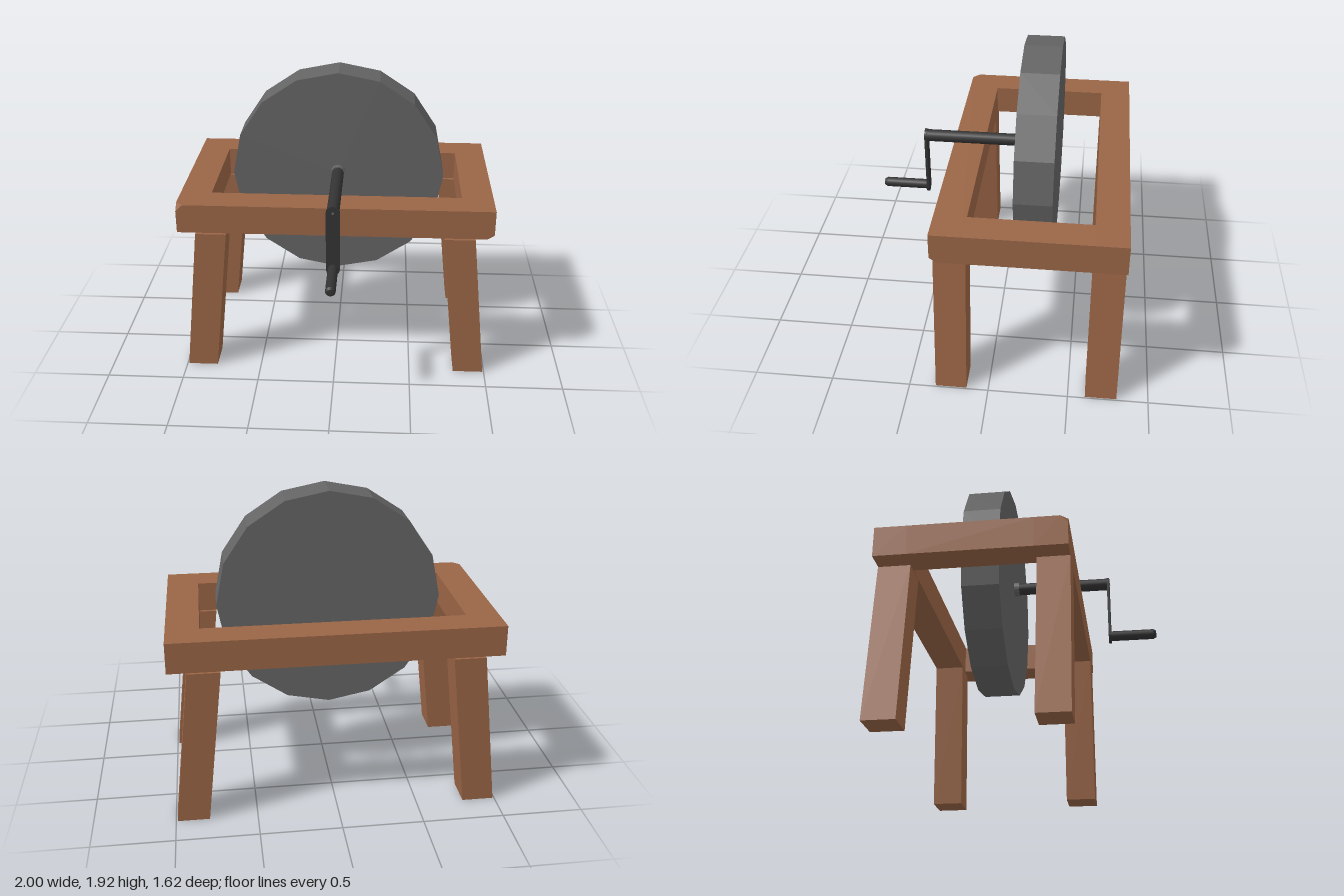
import * as THREE from 'three';
import { ConvexGeometry } from 'three/addons/geometries/ConvexGeometry.js';

export function createModel() {
  const group = new THREE.Group();
  const material = (name, color) => {
    const m = new THREE.MeshStandardMaterial({ color });
    m.name = name;
    return m;
  };
  const wood = material('wood', 0x9a6546);
  const stone = material('stone', 0x646464);
  const iron = material('dark iron', 0x333333);
  const flatStone = stone;
  flatStone.flatShading = true;

  const add = (name, geometry, mat, x = 0, y = 0, z = 0) => {
    const mesh = new THREE.Mesh(geometry, mat);
    mesh.name = name;
    mesh.position.set(x, y, z);
    group.add(mesh);
    return mesh;
  };
  const box = (name, x0, x1, y0, y1, z0, z1) =>
    add(name, new THREE.BoxGeometry(x1 - x0, y1 - y0, z1 - z0), wood,
      (x0 + x1) / 2, (y0 + y1) / 2, (z0 + z1) / 2);

  // Front beam, with two opposite corners chipped off
  const chip = 0.045;
  const corners = [];
  for (const x of [-1, 1]) for (const y of [1, 1.19]) for (const z of [0.135, 0.333]) {
    const chipped = z > 0.3 && (x < 0) === (y > 1.1);
    if (!chipped) corners.push(new THREE.Vector3(x, y, z));
    else corners.push(
      new THREE.Vector3(x - Math.sign(x) * chip, y, z),
      new THREE.Vector3(x, y + (y > 1.1 ? -chip : 0.03), z),
      new THREE.Vector3(x, y, z - chip));
  }
  add('frontBeam', new ConvexGeometry(corners), wood);

  // Rest of the rectangular frame
  box('backBeam', -1, 1, 1, 1.19, -0.808, -0.61);
  box('rightBeam', -1, -0.8, 1, 1.19, -0.61, 0.135);
  box('leftBeam', 0.8, 1, 1, 1.19, -0.61, 0.135);

  // Legs: boxes sheared outwards towards the floor
  for (const side of [-1, 1]) for (const z of [-0.706, 0.236]) {
    const leg = new THREE.BoxGeometry(0.196, 0.99, 0.196);
    const p = leg.attributes.position;
    for (let i = 0; i < p.count; i++) p.setX(i, p.getX(i) - side * 0.107 * p.getY(i));
    leg.computeVertexNormals();
    add(z > 0 ? 'frontLeg' : 'backLeg', leg, wood, side * 0.84, 0.495, z);
  }

  // Sixteen-sided grinding wheel with a corner at the top
  const wheel = new THREE.CylinderGeometry(0.693, 0.693, 0.234, 16).rotateX(Math.PI / 2);
  add('grindingWheel', wheel, flatStone, 0, 1.225, -0.237);

  // Turned rod along z from a profile of [radius, z]
  const rod = (name, profile, mat, y) => {
    const points = profile.map(([r, z]) => new THREE.Vector2(r, z));
    // Doubled profile points keep the shoulders crisp
    const sharp = points.flatMap((pt, i) => (i && i < points.length - 1 ? [pt, pt.clone()] : [pt]));
    add(name, new THREE.LatheGeometry(sharp, 16).rotateX(Math.PI / 2), mat, 0, y, 0);
  };
  rod('axleCollar', [[0, -0.125], [0.046, -0.125], [0.046, -0.086], [0, -0.086]], stone, 1.247);
  rod('axle', [[0, -0.1], [0.039, -0.1], [0.039, 0.508], [0, 0.508]], iron, 1.247);
  rod('handle', [[0, 0.51], [0.032, 0.51], [0.032, 0.79], [0.022, 0.808], [0, 0.81]], iron, 0.865);
  rod('axlePin', [[0, 0.515], [0.008, 0.515], [0.008, 0.524], [0, 0.524]], stone, 1.247);

  // Flat crank arm with rounded ends
  const arm = new THREE.Shape();
  arm.absarc(0, 1.247, 0.043, 0, Math.PI);
  arm.absarc(0, 0.862, 0.043, Math.PI, Math.PI * 2);
  arm.closePath();
  add('crankArm', new THREE.ExtrudeGeometry(arm, { depth: 0.016, bevelEnabled: false, curveSegments: 10 }),
    iron, 0, 0, 0.503);

  return group;
}
